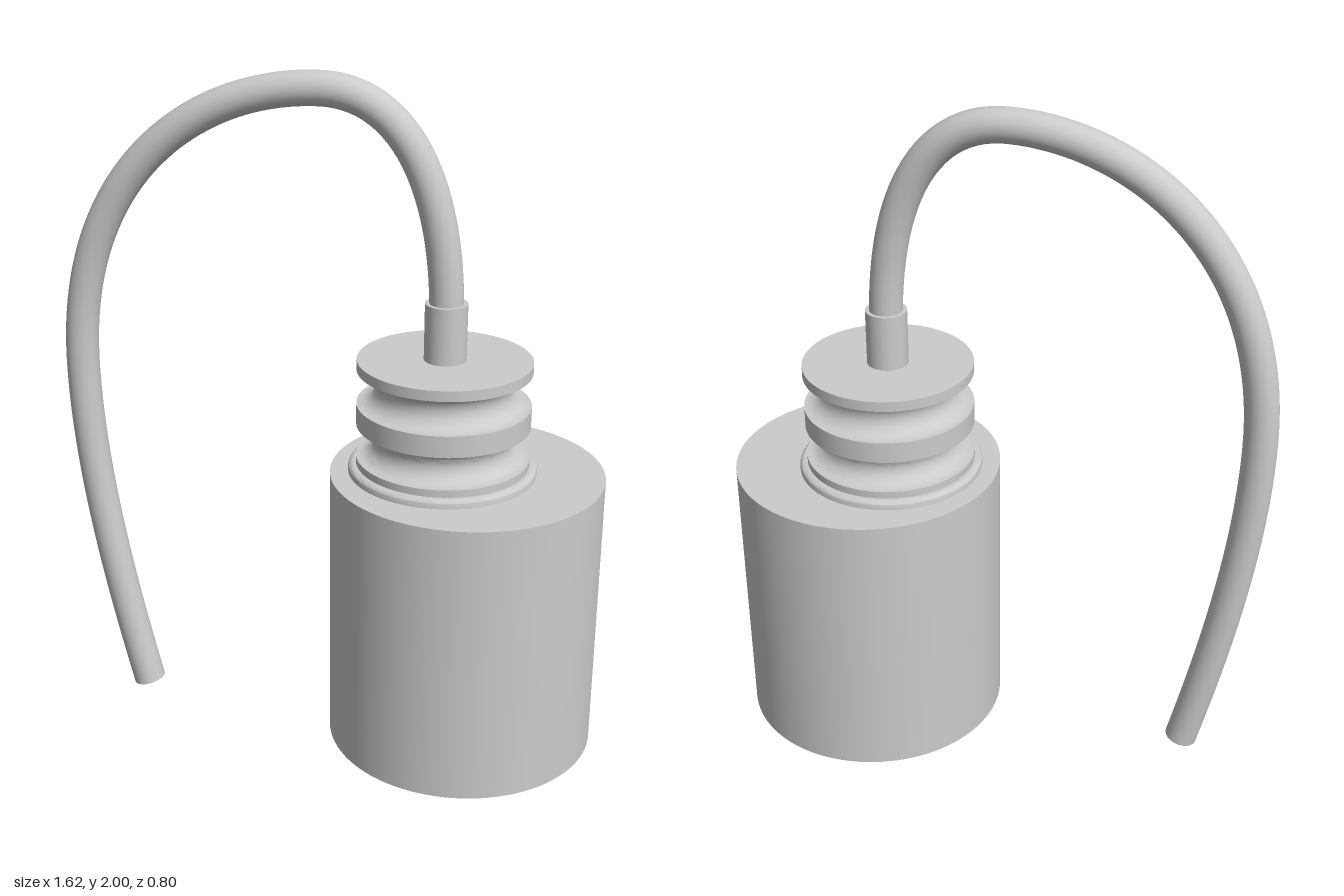
import * as THREE from 'three';
import { toCreasedNormals } from 'three/addons/utils/BufferGeometryUtils.js';

const AXIS_X = 0.336; // axis of the ribbed neck, offset from the body axis

export function createModel() {
  const group = new THREE.Group();
  const material = new THREE.MeshStandardMaterial({ color: 0xcccccc });
  const add = (name, geometry, x = 0, y = 0) => {
    const mesh = new THREE.Mesh(geometry, material);
    mesh.name = name;
    mesh.position.set(x, y, 0);
    group.add(mesh);
    return mesh;
  };

  // Main cylindrical body
  add('body', new THREE.CylinderGeometry(0.4, 0.4, 0.855, 96), 0.41, 0.4275);

  // Ribbed neck: rounded base ring, then discs separated by round grooves
  const profile = [];
  const point = (r, y) => profile.push(new THREE.Vector2(r, y));
  const arc = (r, y, radius, from, to, n) => {
    for (let i = 0; i <= n; i++) {
      const a = from + ((to - from) * i) / n;
      point(r + radius * Math.cos(a), y + radius * Math.sin(a));
    }
  };
  const groove = (y, radius) => arc(0.246, y, radius, 1.5 * Math.PI, 0.5 * Math.PI, 16);
  point(0, 0.85);
  point(0.275, 0.85);
  arc(0.26, 0.865, 0.015, 0, Math.PI / 2, 6);
  point(0.252, 0.88);
  point(0.252, 0.902);
  groove(0.951, 0.049);
  point(0.252, 1.0);
  point(0.252, 1.064);
  groove(1.115, 0.051);
  point(0.252, 1.166);
  point(0.252, 1.197);
  point(0, 1.197);
  add('ribbedNeck', toCreasedNormals(new THREE.LatheGeometry(profile, 80), 0.6), AXIS_X);

  // Sleeve where the cable enters
  add('cableSleeve', new THREE.CylinderGeometry(0.061, 0.061, 0.175, 40), AXIS_X, 1.2775);

  // Arching cable
  const v = (x, y) => new THREE.Vector3(x, y, 0);
  const path = new THREE.CurvePath();
  path.add(new THREE.LineCurve3(v(AXIS_X, 1.25), v(AXIS_X, 1.36)));
  path.add(new THREE.CubicBezierCurve3(v(AXIS_X, 1.36), v(0.325, 1.72), v(0.2, 1.951), v(-0.03, 1.951)));
  path.add(new THREE.CubicBezierCurve3(v(-0.03, 1.951), v(-0.37, 1.951), v(-0.765, 1.7), v(-0.765, 1.1)));
  path.add(new THREE.CubicBezierCurve3(v(-0.765, 1.1), v(-0.765, 0.75), v(-0.68, 0.35), v(-0.6, 0.02)));
  add('cable', new THREE.TubeGeometry(path, 120, 0.049, 28));

  // Flat cap closing the free end
  const cap = add('cableEnd', new THREE.CircleGeometry(0.049, 28), -0.6, 0.02);
  cap.quaternion.setFromUnitVectors(new THREE.Vector3(0, 0, 1), path.getTangent(1).normalize());

  return group;
}
